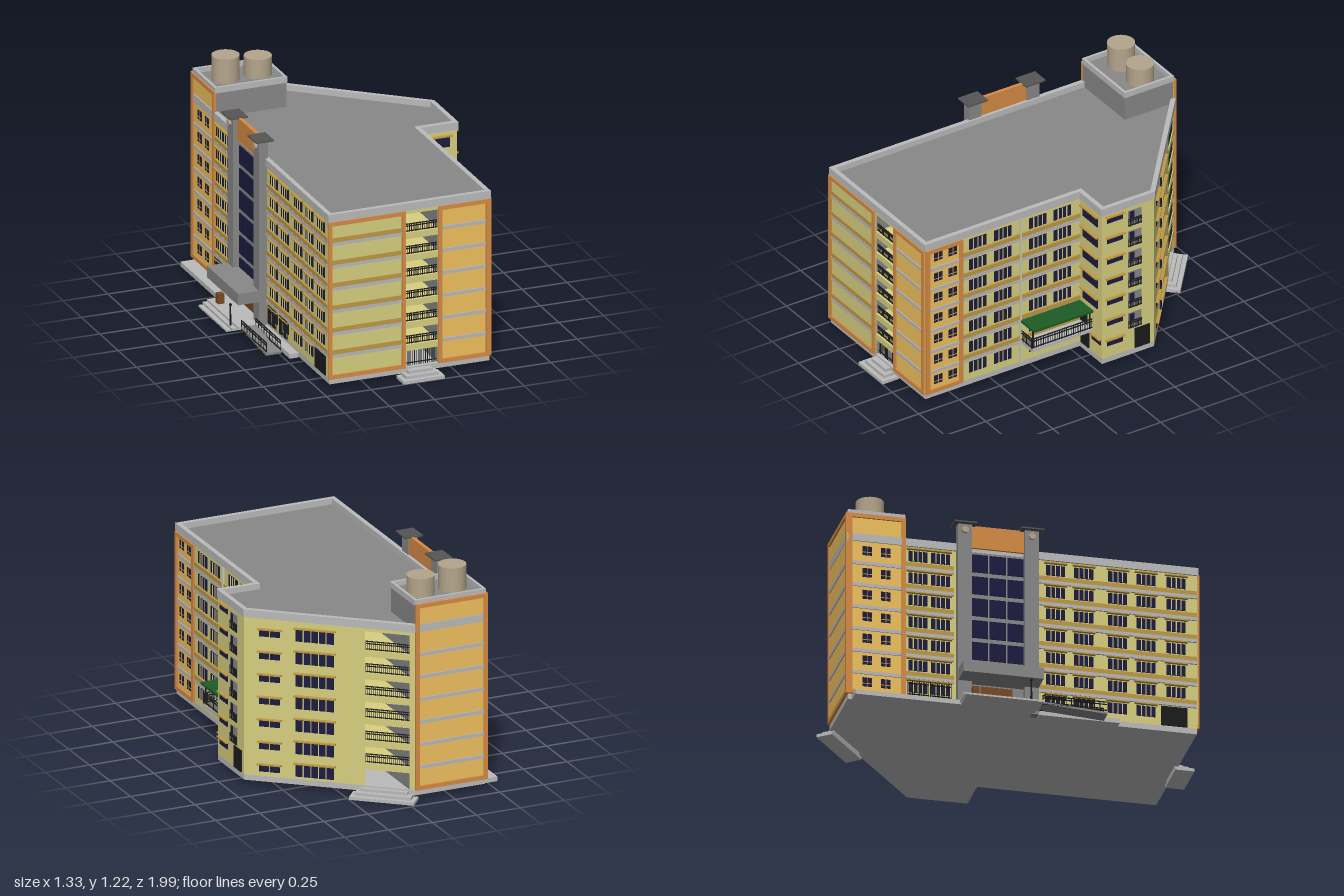
import * as THREE from 'three';
import { mergeGeometries } from 'three/addons/utils/BufferGeometryUtils.js';

const C = {
  yellow: 0xd8d080, fill: 0xf0c25f, gold: 0xbf9a45, orange: 0xd68c44, pale: 0xb8b8c0, light: 0xbbbbbb,
  grey: 0x888888, dark: 0x555555, black: 0x1c1c1c, glass: 0x1c1c40, green: 0x1c5c26, tan: 0xb5a68c, brown: 0x7a4a24,
};
const floorY = i => 0.06 + 0.1243 * i;
const FLOORS = [0, 1, 2, 3, 4, 5, 6];

export function createModel() {
  const parts = new Map();
  // Geometry is collected by part name and merged at the end
  const put = (name, color, geo) => {
    if (!parts.has(name)) parts.set(name, { color, list: [] });
    parts.get(name).list.push(geo.index ? geo.toNonIndexed() : geo);
  };
  const boxGeo = (x0, x1, y0, y1, z0, z1) =>
    new THREE.BoxGeometry(x1 - x0, y1 - y0, z1 - z0).translate((x0 + x1) / 2, (y0 + y1) / 2, (z0 + z1) / 2);
  const box = (name, color, ...b) => put(name, color, boxGeo(...b));
  // Prism over a plan outline of [x, z] points
  const prism = (name, color, pts, y0, y1, hole) => {
    const v = p => p.map(([x, z]) => new THREE.Vector2(x, -z));
    const s = new THREE.Shape(v(pts));
    if (hole) s.holes.push(new THREE.Path(v(hole)));
    put(name, color, new THREE.ExtrudeGeometry(s, { depth: y1 - y0, bevelEnabled: false })
      .rotateX(-Math.PI / 2).translate(0, y0, 0));
  };
  // Boxes on a wall running from a to b: u along it, y up, d outward
  const wall = (ax, az, bx, bz) => {
    const m = new THREE.Matrix4().makeRotationY(Math.atan2(az - bz, bx - ax)).setPosition(ax, 0, az);
    return (name, color, u0, u1, y0, y1, d0, d1) => put(name, color, boxGeo(u0, u1, y0, y1, d0, d1).applyMatrix4(m));
  };
  const windowOn = (f, u0, u1, y0, y1, panes, awning = true) => {
    f('windowGlass', C.glass, u0, u1, y0, y1, -0.002, 0.004);
    for (let i = 1; i < panes; i++) {
      const u = u0 + (u1 - u0) * i / panes;
      f('windowMullions', C.yellow, u - 0.0025, u + 0.0025, y0, y1, 0, 0.007);
    }
    if (awning) f('windowAwnings', C.gold, u0 - 0.01, u1 + 0.01, y1 + 0.006, y1 + 0.013, 0, 0.018);
  };
  const railing = (f, u0, u1, y, h, d, n) => {
    for (const t of [0.15, 0.75, 1]) f('railings', C.black, u0, u1, y + h * t - 0.004, y + h * t, d - 0.003, d + 0.003);
    for (let i = 0; i <= n; i++) {
      const u = u0 + (u1 - u0) * i / n;
      f('railings', C.black, u - 0.0014, u + 0.0014, y, y + h, d - 0.0014, d + 0.0014);
    }
  };
  const bands = (f, u0, u1, withGold) => FLOORS.slice(1).forEach(i => {
    const y = floorY(i);
    f('greyBands', C.pale, u0, u1, y - 0.008, y + 0.01, 0, 0.009);
    if (withGold) f('goldBands', C.gold, u0, u1, y + 0.01, y + 0.034, 0, 0.008);
  });
  const panel = (f, u0, u1, y1, name, color, withGold) => {
    const w = 0.022, y0 = 0.06;
    f(name, color, u0, u1, y0, y1, 0, 0.004);
    bands(f, u0 + w, u1 - w, withGold);
    for (const [a, b, c, e] of [[u0, u0 + w, y0, y1], [u1 - w, u1, y0, y1], [u0, u1, y0, y0 + w], [u0, u1, y1 - w, y1]])
      f('panelFrames', C.orange, a, b, c, e, 0, 0.013);
  };
  const smallWindows = (f, us) => FLOORS.forEach(i => us.forEach(u => {
    const y = floorY(i) + 0.048;
    f('windowGlass', C.glass, u - 0.025, u + 0.025, y, y + 0.05, 0, 0.007);
    f('smallWindowBars', C.gold, u - 0.025, u + 0.025, y + 0.014, y + 0.018, 0, 0.009);
    f('smallWindowBars', C.gold, u - 0.002, u + 0.002, y, y + 0.05, 0, 0.009);
  }));

  // Building bodies on either side of the open corridor
  const outline = [[-0.45, 0.92], [0.44, 0.92], [0.44, -0.03], [0.65, -0.03], [0.65, -0.35], [-0.05, -0.93], [-0.45, -0.93]];
  prism('plinth', C.light, outline, 0.03, 0.06);
  prism('walls', C.yellow, [[-0.45, 0.92], [-0.03, 0.92], [-0.03, -0.913], [-0.05, -0.93], [-0.45, -0.93]], 0.06, 0.93);
  prism('walls', C.yellow, [[0.155, 0.92], [0.44, 0.92], [0.44, -0.03], [0.65, -0.03], [0.65, -0.35], [0.155, -0.76]], 0.06, 0.93);
  const corridor = [[-0.03, 0.92], [0.155, 0.92], [0.155, -0.76], [-0.03, -0.913]];
  FLOORS.slice(1).forEach(i => prism('corridorSlabs', C.yellow, corridor, floorY(i) - 0.035, floorY(i)));
  prism('corridorSlabs', C.yellow, corridor, 0.91, 0.93);
  box('corridorLining', C.grey, -0.031, -0.028, 0.06, 0.91, -0.905, 0.915);
  box('corridorLining', C.grey, 0.153, 0.156, 0.06, 0.91, -0.755, 0.915);
  box('corridorPartition', C.dark, -0.03, 0.155, floorY(1), floorY(2) - 0.03, 0.6, 0.62);

  // Roof deck and parapet
  prism('roof', C.grey, outline, 0.93, 0.94);
  prism('parapet', C.light,
    [[-0.46, 0.927], [0.446, 0.927], [0.446, -0.024], [0.656, -0.024], [0.656, -0.353], [-0.047, -0.937], [-0.46, -0.937]], 0.93, 0.972,
    [[-0.435, 0.902], [0.42, 0.902], [0.42, -0.05], [0.631, -0.05], [0.631, -0.34], [-0.057, -0.912], [-0.435, -0.912]]);

  // Roof house with water tanks
  box('roofHouse', C.grey, -0.45, -0.055, 0.93, 1.08, -0.925, -0.63);
  const rect = (x0, x1, z0, z1) => [[x0, z1], [x1, z1], [x1, z0], [x0, z0]];
  prism('roofHouseRim', C.light, rect(-0.455, -0.05, -0.93, -0.625), 1.075, 1.107, rect(-0.44, -0.065, -0.915, -0.64));
  for (const [x, top] of [[-0.33, 1.215], [-0.15, 1.185]])
    put('waterTanks', C.tan, new THREE.CylinderGeometry(0.073, 0.073, top - 1.08, 32).translate(x, (top + 1.08) / 2, -0.785));

  // Front facade
  const front = wall(-0.45, 0.92, 0.44, 0.92);
  panel(front, -0.01, 0.422, 0.93, 'yellowPanel', C.yellow, true);
  panel(front, 0.603, 0.89, 0.93, 'orangePanel', C.fill, false);
  FLOORS.slice(1).forEach(i => railing(front, 0.42, 0.605, floorY(i), 0.045, -0.012, 18));
  railing(front, 0.42, 0.605, 0.06, 0.115, -0.02, 18);

  // Right facade
  const right = wall(0.44, 0.92, 0.44, -0.03);
  panel(right, 0, 0.225, 0.93, 'orangePanel', C.fill, false);
  smallWindows(right, [0.075, 0.165]);
  bands(right, 0.225, 0.95, true);
  FLOORS.forEach(i => [0.32, 0.475, 0.69, 0.84].forEach(u =>
    windowOn(right, u - 0.053, u + 0.053, floorY(i) + 0.042, floorY(i) + 0.105, 4, false)));
  right('drainPipe', 0xc8d0b0, 0.577, 0.584, 0.06, 0.93, 0, 0.014);

  // Raised terrace with green canopy
  box('terraceFloor', C.light, 0.44, 0.56, 0.18, 0.197, -0.03, 0.34);
  box('canopy', C.green, 0.44, 0.575, 0.305, 0.318, -0.025, 0.34);
  railing(right, 0.58, 0.95, 0.197, 0.06, 0.115, 26);
  railing(wall(0.44, 0.337, 0.56, 0.337), 0, 0.12, 0.197, 0.06, 0, 10);
  for (const z of [0.33, -0.02]) box('canopyPosts', C.black, 0.548, 0.554, 0.19, 0.306, z - 0.003, z + 0.003);

  // Wing front and side
  const wingFront = wall(0.44, -0.03, 0.65, -0.03);
  FLOORS.slice(2).forEach(i => windowOn(wingFront, 0.03, 0.17, floorY(i) + 0.035, floorY(i) + 0.088, 1));
  windowOn(wingFront, 0.115, 0.2, 0.138, 0.166, 1);
  wingFront('doors', C.black, 0.015, 0.09, 0.065, 0.172, 0, 0.006);
  wingFront('doors', C.black, 0.01, 0.075, 0.2, 0.303, 0, 0.006);
  const wingSide = wall(0.65, -0.03, 0.65, -0.35);
  FLOORS.forEach(i => {
    const y = floorY(i);
    windowOn(wingSide, 0.03, 0.125, y + 0.068, y + 0.098, 1);
    if (!i) return;
    wingSide('balconyOpenings', C.grey, 0.16, 0.24, y + 0.008, y + 0.1, 0, 0.004);
    wingSide('windowGlass', C.glass, 0.165, 0.195, y + 0.05, y + 0.095, 0, 0.006);
    railing(wingSide, 0.16, 0.24, y + 0.008, 0.045, 0.007, 8);
  });
  wingSide('doors', C.black, 0.2, 0.29, 0.062, 0.18, 0, 0.006);

  // Diagonal rear facade
  const diagonal = wall(0.65, -0.35, -0.05, -0.93);
  FLOORS.forEach(i => {
    const y = floorY(i);
    windowOn(diagonal, 0.08, 0.19, y + 0.025, y + 0.057, 2);
    windowOn(diagonal, 0.275, 0.478, y + 0.015, y + 0.078, 5);
    if (i) railing(diagonal, 0.645, 0.88, y, 0.05, -0.008, 22);
  });

  // Back facade
  panel(wall(-0.05, -0.93, -0.45, -0.93), 0, 0.41, 1.085, 'orangePanel', C.fill, false);

  // Left facade, u = z + 0.93
  const left = wall(-0.45, -0.93, -0.45, 0.92);
  panel(left, 0, 0.305, 1.085, 'orangePanel', C.fill, false);
  smallWindows(left, [0.1, 0.2]);
  bands(left, 0.305, 0.56, true);
  bands(left, 1.01, 1.85, true);
  FLOORS.forEach(i => [0.37, 0.49, 1.1, 1.25, 1.43, 1.58, 1.74].forEach(u => {
    if (i || u < 1.7) windowOn(left, u - 0.05, u + 0.05, floorY(i) + 0.042, floorY(i) + 0.1, 4);
    if (!i && u < 1.3) railing(left, u - 0.055, u + 0.055, 0.075, 0.1, 0.012, 9);
  }));
  left('doors', C.black, 1.66, 1.8, 0.062, 0.17, 0, 0.006);

  // Entrance tower: twin piers, glazing, sign board
  for (const z of [-0.32, 0.035]) {
    box('entrancePiers', C.grey, -0.495, -0.445, 0.03, 1.07, z - 0.037, z + 0.037);
    box('pierCaps', C.dark, -0.52, -0.42, 1.07, 1.078, z - 0.06, z + 0.06);
    put('pierLamps', C.tan, new THREE.CylinderGeometry(0.018, 0.018, 0.015, 16).rotateZ(Math.PI / 2).translate(-0.502, 1.035, z));
  }
  box('signBoard', C.orange, -0.472, -0.452, 0.95, 1.075, -0.285, 0.01);
  left('entranceBay', C.grey, 0.64, 0.93, 0.06, 0.95, 0, 0.008);
  FLOORS.slice(1).forEach(i => [0.655, 0.75, 0.845].forEach(u =>
    left('windowGlass', C.glass, u, u + 0.085, floorY(i) + 0.012, floorY(i) + 0.112, 0, 0.013)));
  left('entranceDoor', C.brown, 0.7, 0.87, 0.06, 0.17, 0, 0.014);
  box('entranceCanopy', C.grey, -0.61, -0.45, 0.18, 0.243, -0.355, 0.07);

  // Entrance platform, ramp and side terrace
  box('entrancePlatform', C.light, -0.66, -0.45, 0.025, 0.035, -0.35, 0.03);
  box('entrancePlatform', C.light, -0.635, -0.45, 0.035, 0.047, -0.355, 0.05);
  box('entrancePlatform', C.light, -0.61, -0.45, 0.047, 0.058, -0.355, 0.07);
  box('sideTerrace', C.light, -0.53, -0.45, 0.025, 0.05, -0.91, -0.35);
  box('sideTerrace', C.light, -0.5, -0.45, 0.025, 0.05, 0.07, 0.5);
  put('ramp', C.grey, boxGeo(-0.595, -0.51, -0.006, 0.006, 0, 0.345).rotateX(0.065).translate(0, 0.052, 0.068));
  for (const x of [-0.592, -0.513]) railing(wall(x, 0.07, x, 0.41), 0, 0.34, 0.04, 0.055, 0, 9);
  box('planter', C.brown, -0.585, -0.55, 0.055, 0.112, -0.3, -0.265);
  put('lampPost', C.black, new THREE.CylinderGeometry(0.004, 0.006, 0.12, 8).translate(-0.625, 0.1, 0));
  put('lampPost', C.black, new THREE.SphereGeometry(0.008, 10, 8).translate(-0.625, 0.16, 0));

  // Stepped stairs at the front and rear corridor ends
  for (const k of [0, 1, 2]) {
    const s = 0.024 * k, y0 = 0.017 * k;
    front('steps', C.light, 0.38 + s, 0.61 - s, y0, y0 + 0.017, -0.02, 0.08 - s);
    diagonal('steps', C.light, 0.576 + s, 0.923 - s, y0, y0 + 0.017, -0.02, 0.07 - s);
  }

  const model = new THREE.Group();
  model.name = 'apartmentBuilding';
  for (const [name, { color, list }] of parts) {
    const mesh = new THREE.Mesh(mergeGeometries(list), new THREE.MeshStandardMaterial({ color }));
    mesh.name = name;
    model.add(mesh);
  }
  return model;
}
